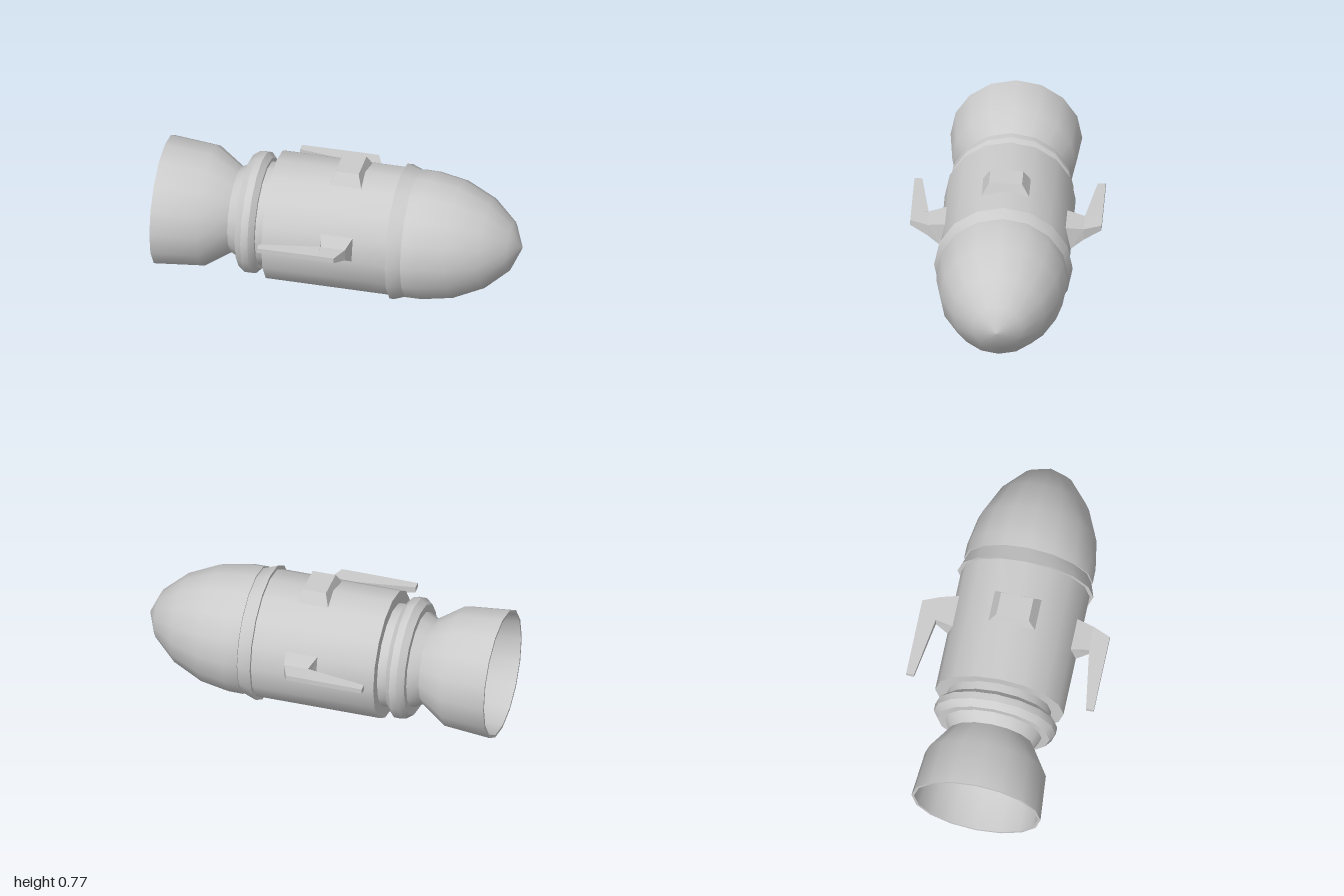
import * as THREE from 'three';
import { toCreasedNormals } from 'three/addons/utils/BufferGeometryUtils.js';

const AXIS_Y = 0.377;
const SIDES = 16;

export function createModel() {
  const group = new THREE.Group();
  const smooth = new THREE.MeshStandardMaterial({ color: 0xcccccc });
  const flat = new THREE.MeshStandardMaterial({ color: 0xcccccc, flatShading: true });

  // Turned part lying along x; profile is [x, radius] from rear to front
  function turned(name, profile, crease = 0.6) {
    const points = profile.map(([x, r]) => new THREE.Vector2(r, x));
    const geometry = toCreasedNormals(new THREE.LatheGeometry(points, SIDES), crease);
    geometry.rotateZ(-Math.PI / 2);
    geometry.translate(0, AXIS_Y, 0);
    const mesh = new THREE.Mesh(geometry, smooth);
    mesh.name = name;
    group.add(mesh);
  }

  // Closed loft through four-cornered sections; flip reverses the winding
  function loft(name, sections, flip = false) {
    const index = [];
    const quad = (a, b, c, d) => index.push(...(flip ? [a, c, b, a, d, c] : [a, b, c, a, c, d]));
    for (let s = 0; s < sections.length - 1; s++) {
      for (let i = 0; i < 4; i++) {
        const j = (i + 1) % 4, k = s * 4;
        quad(k + i, k + j, k + 4 + j, k + 4 + i);
      }
    }
    const e = (sections.length - 1) * 4;
    quad(3, 2, 1, 0);
    quad(e, e + 1, e + 2, e + 3);
    const geometry = new THREE.BufferGeometry();
    geometry.setAttribute('position', new THREE.Float32BufferAttribute(sections.flat(2), 3));
    geometry.setIndex(index);
    const flatGeometry = geometry.toNonIndexed();
    flatGeometry.computeVertexNormals();
    const mesh = new THREE.Mesh(flatGeometry, flat);
    mesh.name = name;
    return mesh;
  }

  // Hull, from nose to tail
  turned('nose', [[0.4, 0.33], [0.4, 0.357], [0.48, 0.356], [0.64, 0.328], [0.81, 0.25],
    [0.94, 0.135], [1, 0]]);
  turned('noseCollar', [[0.32, 0.34], [0.32, 0.377], [0.405, 0.347]]);
  turned('body', [[-0.375, 0.27], [-0.375, 0.356], [0.33, 0.356]]);
  turned('neck', [[-0.44, 0.288], [-0.37, 0.288]]);
  turned('neckRing', [[-0.535, 0.25], [-0.535, 0.31], [-0.497, 0.338], [-0.457, 0.338],
    [-0.428, 0.307], [-0.428, 0.27]], 0.5);
  // Open nozzle with an inner wall
  turned('nozzle', [[-0.6, 0], [-0.6, 0.215], [-0.74, 0.318], [-1, 0.343], [-1, 0.358],
    [-0.745, 0.335], [-0.595, 0.235], [-0.53, 0.27]], 0.75);

  // Tapered block on top
  const slab = (y, x0, x1, z) => [[x0, y, z], [x1, y, z], [x1, y, -z], [x0, y, -z]];
  group.add(loft('topBlock', [slab(0.704, -0.05, 0.13, 0.131), slab(0.773, -0.025, 0.105, 0.09)]));

  // Swept side fins: a tapering pylon carrying a long rearward arm
  for (const side of [1, -1]) {
    const atZ = (zLow, zHigh, x0, x1, y0, y1) => [[x0, y0, zLow * side], [x1, y0, zLow * side],
      [x1, y1, zHigh * side], [x0, y1, zHigh * side]];
    const atX = (x, z0, z1, yIn, yOut, y1) =>
      [[x, yIn, z0 * side], [x, yOut, z1 * side], [x, y1, z1 * side], [x, y1, z0 * side]];
    const fin = new THREE.Group();
    fin.name = side > 0 ? 'frontFin' : 'backFin';
    fin.add(loft('finPylon', [atZ(0.352, 0.328, -0.05, 0.13, 0.379, 0.515),
      atZ(0.425, 0.425, -0.025, 0.11, 0.43, 0.497),
      atZ(0.52, 0.52, -0.025, 0.07, 0.468, 0.498)], side < 0));
    fin.add(loft('finArm', [atX(-0.025, 0.425, 0.52, 0.43, 0.468, 0.498),
      atX(-0.36, 0.477, 0.52, 0.462, 0.468, 0.495)], side < 0));
    group.add(fin);
  }
  return group;
}
